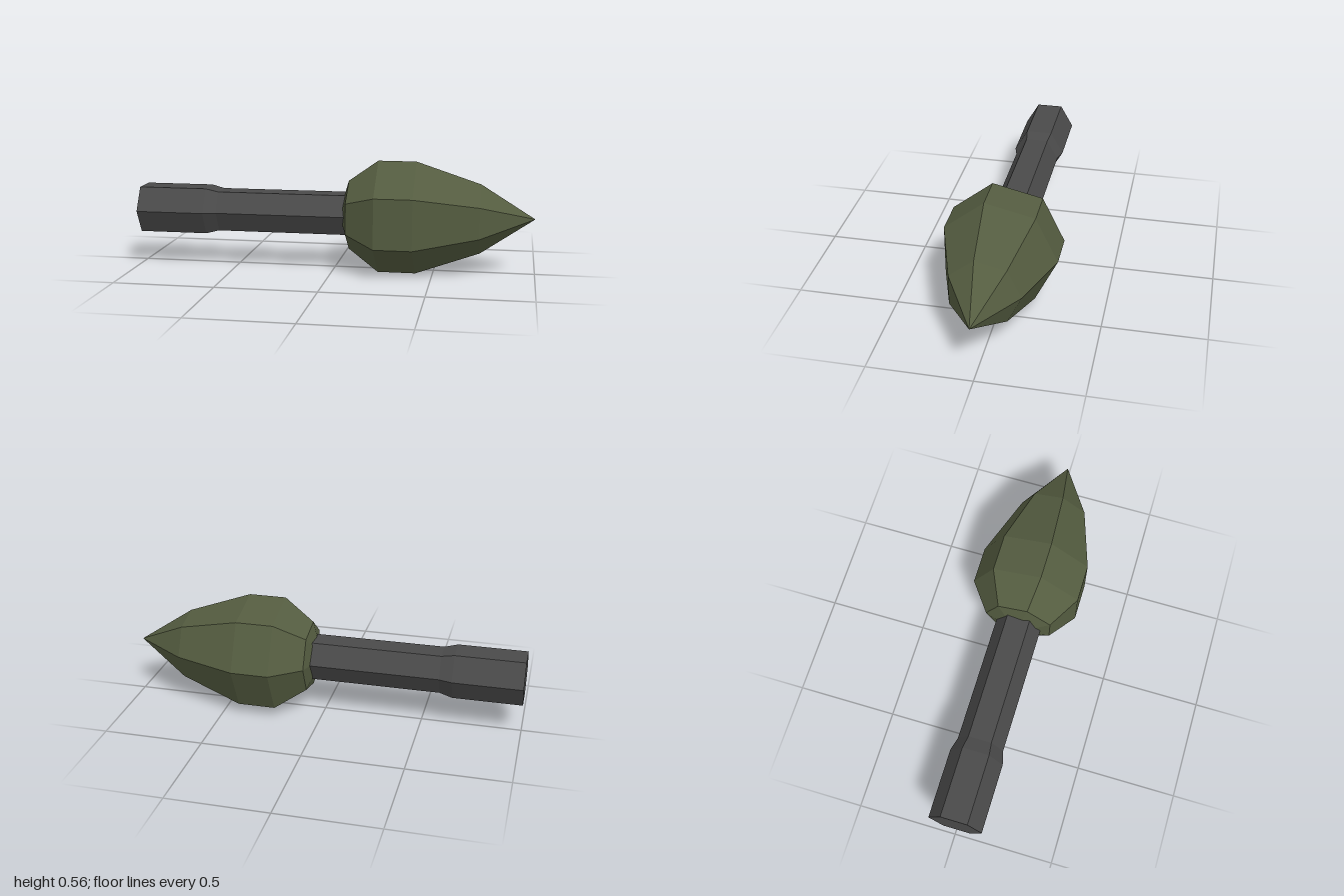
import * as THREE from 'three';

const CENTRE_Y = 0.283;
const CENTRE_Z = 0.014;

// Faceted solid turned around the x axis from [x, radius] pairs.
function turned(name, profile, sides, start, material) {
  const points = profile.map(([x, r]) => new THREE.Vector2(r, x));
  const geometry = new THREE.LatheGeometry(points, sides, start).toNonIndexed();
  geometry.rotateZ(-Math.PI / 2);
  geometry.computeVertexNormals();
  const mesh = new THREE.Mesh(geometry, material);
  mesh.name = name;
  return mesh;
}

export function createModel() {
  const green = new THREE.MeshStandardMaterial({ color: 0x545c40, flatShading: true });
  green.name = 'olive green';
  const grey = new THREE.MeshStandardMaterial({ color: 0x4a4a4a, flatShading: true });
  grey.name = 'dark grey';

  const model = new THREE.Group();
  model.name = 'pointedWarhead';

  // Hexagonal shaft with a thicker rear end
  const shaft = turned('shaft', [
    [-1, 0], [-1, 0.133], [-0.655, 0.133], [-0.59, 0.115], [0.1, 0.115], [0.1, 0],
  ], 6, 0, grey);

  // Seven-sided bulbous head tapering to a point
  const head = turned('head', [
    [0.05, 0], [0.05, 0.09], [0.077, 0.177], [0.227, 0.288],
    [0.415, 0.288], [0.73, 0.177], [0.995, 0],
  ], 7, Math.PI, green);

  model.add(shaft, head);
  for (const part of model.children) part.position.set(0, CENTRE_Y, CENTRE_Z);
  return model;
}
